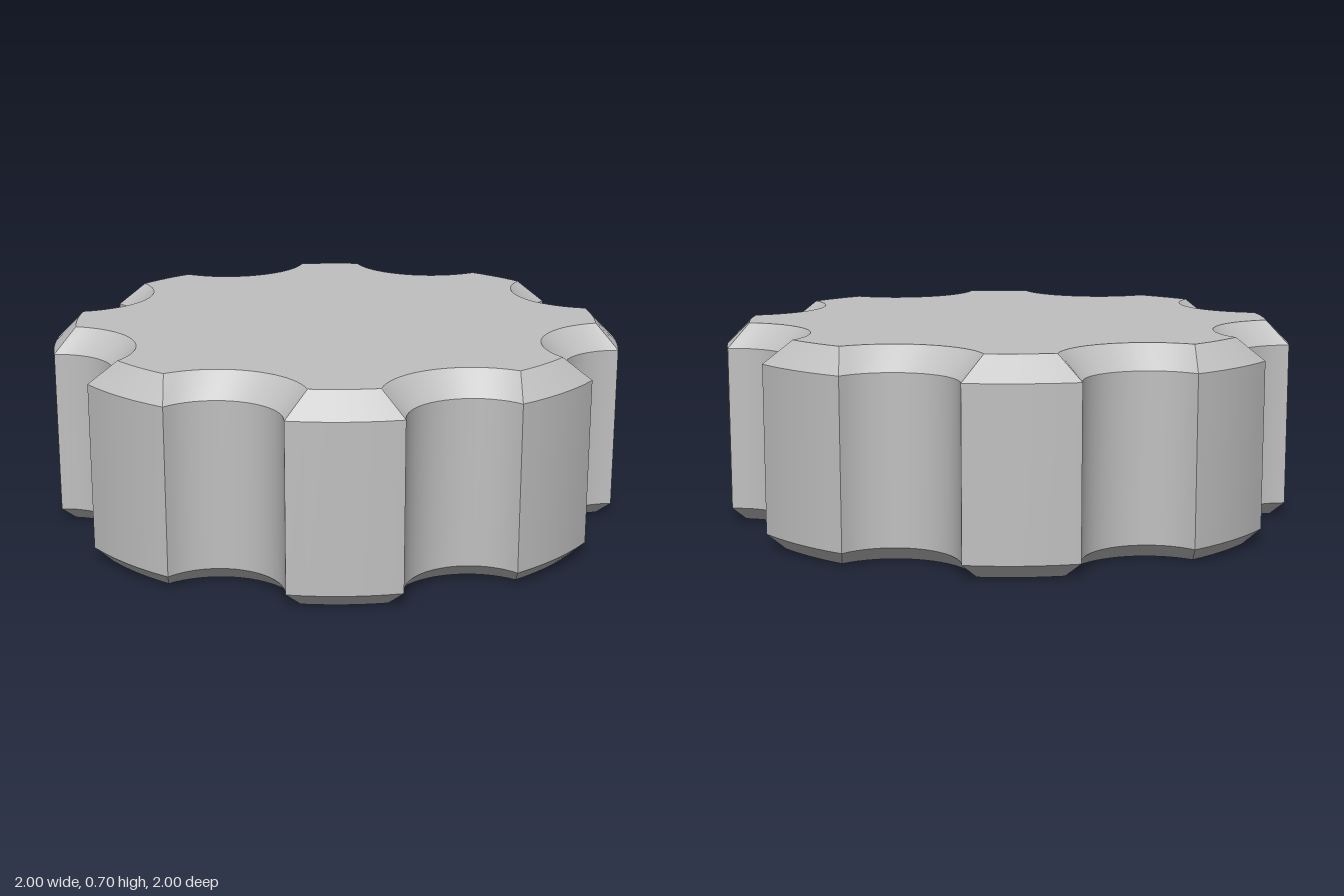
import * as THREE from 'three';
import { mergeVertices, toCreasedNormals } from 'three/addons/utils/BufferGeometryUtils.js';

const LOBES = 8, NOTCH_CENTRE = 1.06, NOTCH_RADIUS = 0.22;
const HEIGHT = 0.7, CEILING = 0.5;

// Scalloped outline, moved inwards by `inset`
function outline(inset) {
  const R = 1 - inset, q = NOTCH_RADIUS + inset, c = NOTCH_CENTRE;
  const a = Math.acos((R * R + c * c - q * q) / (2 * R * c));
  const phi = Math.atan2(R * Math.sin(a), R * Math.cos(a) - c);
  const step = (Math.PI * 2) / LOBES, lobeSteps = 6, notchSteps = 20, pts = [];
  for (let k = 0; k < LOBES; k++) {
    const mid = (k + 0.5) * step, half = step / 2 - a;
    // outer arc of the lobe
    for (let i = 0; i < lobeSteps; i++) {
      const t = k * step - half + (2 * half * i) / lobeSteps;
      pts.push(new THREE.Vector2(R * Math.cos(t), R * Math.sin(t)));
    }
    // concave finger notch
    for (let i = 0; i < notchSteps; i++) {
      const t = -phi - (i / notchSteps) * (2 * Math.PI - 2 * phi);
      const p = new THREE.Vector2(c + q * Math.cos(t), q * Math.sin(t));
      pts.push(p.rotateAround(new THREE.Vector2(), mid));
    }
  }
  return pts;
}

// Side wall through a stack of [inset, y] sections
function wallGeometry(sections) {
  const positions = [], index = [];
  let n = 0;
  for (const [inset, y] of sections) {
    const ring = outline(inset);
    n = ring.length;
    for (const p of ring) positions.push(p.x, y, -p.y);
  }
  for (let s = 0; s < sections.length - 1; s++) {
    for (let i = 0; i < n; i++) {
      const a = s * n + i, b = s * n + ((i + 1) % n);
      index.push(a, b, b + n, a, b + n, a + n);
    }
  }
  const g = new THREE.BufferGeometry();
  g.setAttribute('position', new THREE.Float32BufferAttribute(positions, 3));
  g.setIndex(index);
  return toCreasedNormals(g, 0.45);
}

export function createModel() {
  const group = new THREE.Group();
  group.name = 'knob';
  const grey = new THREE.MeshStandardMaterial({ color: 0xc0c0c0 });
  grey.name = 'light grey';

  const add = (name, geometry) => {
    const mesh = new THREE.Mesh(geometry, grey);
    mesh.name = name;
    group.add(mesh);
    return mesh;
  };

  // Gripping rim with a chamfer at both ends
  add('gripWall', wallGeometry([[0.05, 0], [0, 0.05], [0, HEIGHT - 0.08], [0.08, HEIGHT]]));

  // Flat top
  const top = new THREE.ShapeGeometry(new THREE.Shape(outline(0.08)));
  add('topFace', top.rotateX(-Math.PI / 2).translate(0, HEIGHT, 0));

  // Flat underside with the socket opening
  const under = new THREE.Shape(outline(0.05));
  under.holes.push(new THREE.Path().absarc(0, 0, 0.39, 0, Math.PI * 2, true));
  add('underside', new THREE.ShapeGeometry(under, 32).rotateX(Math.PI / 2));

  // Round socket with a chamfered mouth
  const profile = [[0, CEILING], [0.35, CEILING], [0.35, 0.04], [0.39, 0]];
  const socket = new THREE.LatheGeometry(profile.map(([r, y]) => new THREE.Vector2(r, y)), 64);
  socket.deleteAttribute('normal');
  socket.deleteAttribute('uv');
  add('socket', toCreasedNormals(mergeVertices(socket), 0.45));

  // Hexagonal post hanging inside the socket, corners on the x axis
  const postBottom = 0.22, postHeight = CEILING - postBottom;
  const post = new THREE.CylinderGeometry(0.16, 0.16, postHeight, 6);
  post.rotateY(Math.PI / 6).translate(0, postBottom + postHeight / 2, 0);
  add('hexPost', toCreasedNormals(post, 0.3));

  return group;
}
